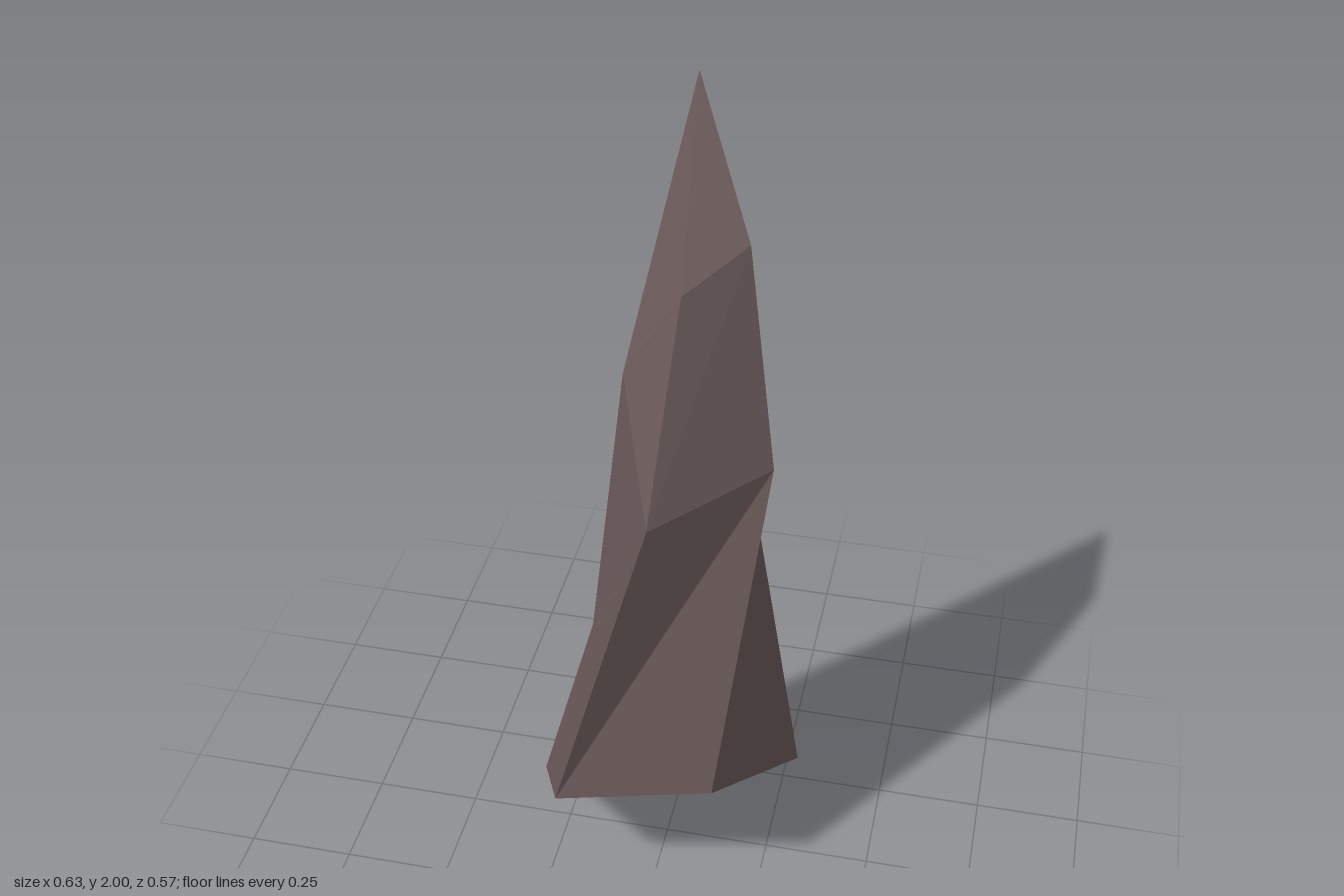
import * as THREE from 'three';

export function createModel() {
  const group = new THREE.Group();
  group.name = 'rockSpike';

  const stone = new THREE.MeshStandardMaterial({
    color: 0x6b5a5a, flatShading: true, side: THREE.DoubleSide,
  });
  stone.name = 'brown stone';

  // Irregular six-sided rings, listed in the same column order
  const tip = [0.04, 2, -0.107];
  const upper = [[0.17, 1.69, 0.005], [0.045, 1.6, 0.08], [-0.085, 1.38, 0.045],
    [-0.08, 1.27, -0.097], [0.018, 1.4, -0.12], [0.115, 1.58, -0.1]];
  const middle = [[0.243, 1.2, 0.07], [0, 1.1, 0.21], [-0.175, 0.65, 0.007],
    [-0.13, 0.4, -0.19], [0.095, 0.66, -0.22], [0.178, 1.03, -0.069]];
  const base = [[0.155, 0.4, 0.242], [-0.203, 0.345, 0.282], [-0.317, 0.125, -0.029],
    [-0.133, 0, -0.265], [0.2, 0.143, -0.285], [0.317, 0.315, 0]];

  const triangles = (list) => {
    const geometry = new THREE.BufferGeometry();
    geometry.setAttribute('position', new THREE.Float32BufferAttribute(list.flat(2), 3));
    geometry.computeVertexNormals();
    return geometry;
  };
  const addPart = (name, list) => {
    const mesh = new THREE.Mesh(triangles(list), stone);
    mesh.name = name;
    group.add(mesh);
  };

  const point = [], shaft = [], skirt = [];
  for (let i = 0; i < 6; i++) {
    const j = (i + 1) % 6;
    // Pointed cap
    point.push([tip, upper[j], upper[i]]);
    // Shaft facets; one facet pair is split along its other diagonal
    if (i === 1) {
      shaft.push([upper[i], upper[j], middle[i]], [upper[j], middle[j], middle[i]]);
    } else {
      shaft.push([upper[i], upper[j], middle[j]], [upper[i], middle[j], middle[i]]);
    }
    // Ragged open skirt with a notch at the back
    skirt.push([middle[i], middle[j], base[j]]);
    if (i !== 3) skirt.push([middle[i], base[j], base[i]]);
  }
  addPart('point', point);
  addPart('shaft', shaft);
  addPart('skirt', skirt);
  return group;
}
